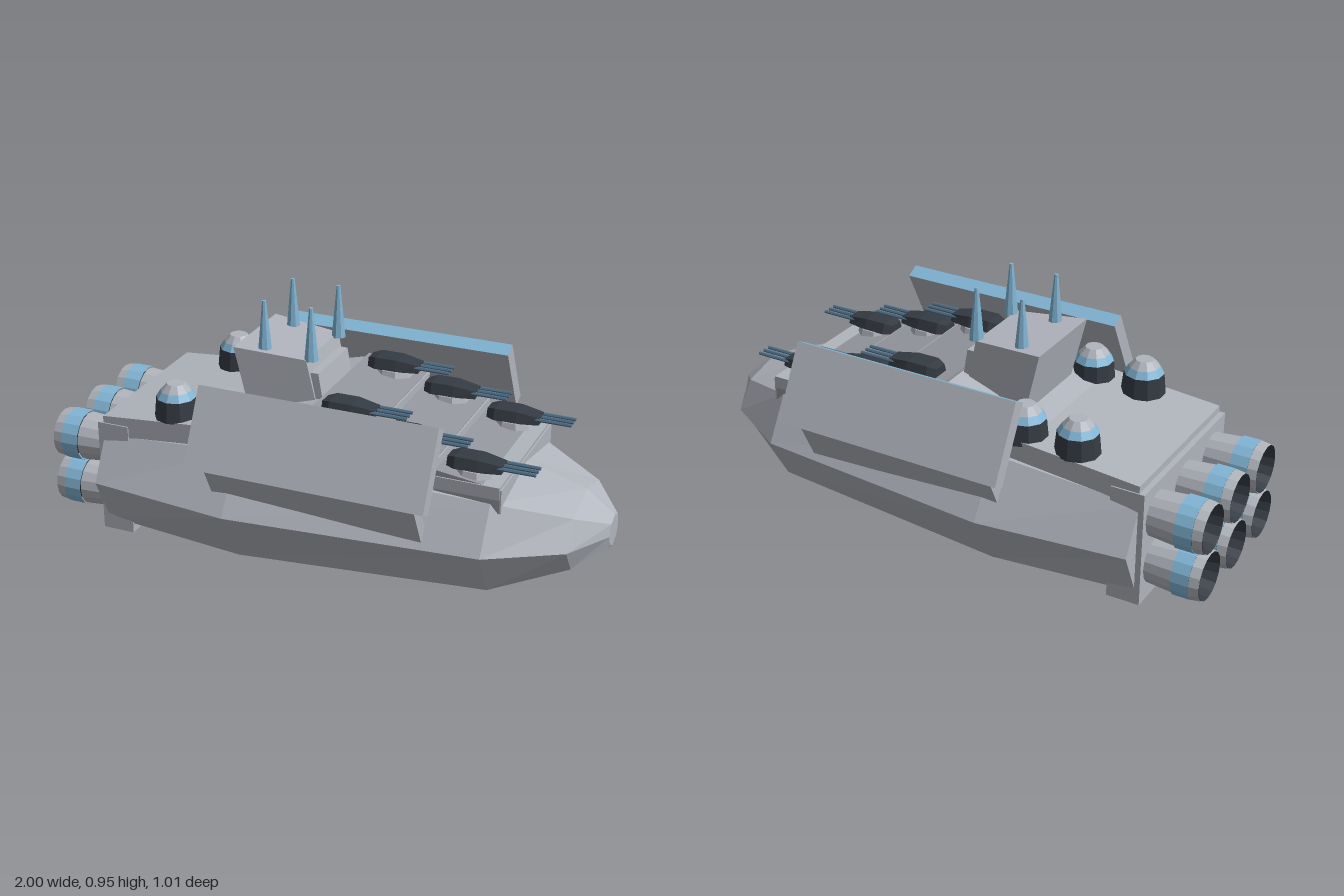
import * as THREE from 'three';

const mat = (name, color, side = THREE.FrontSide) => {
  const m = new THREE.MeshStandardMaterial({ color, side, flatShading: true });
  m.name = name;
  return m;
};

export function createModel() {
  const ship = new THREE.Group();
  ship.name = 'spaceBattleship';
  const hullGrey = mat('hullGrey', 0xb0b4bc);
  const deckGrey = mat('deckGrey', 0x94979e);
  const blue = mat('trimBlue', 0x82b6d6);
  const steel = mat('barrelSteel', 0x52728a);
  const dark = mat('gunDark', 0x353b43, THREE.DoubleSide);

  const add = (name, geo, material, x = 0, y = 0, z = 0, parent = ship) => {
    const m = new THREE.Mesh(geo, material);
    m.name = name;
    m.position.set(x, y, z);
    parent.add(m);
    return m;
  };
  // side profile in x,y pushed out symmetrically along z
  const slab = (pts, width) => {
    const shape = new THREE.Shape(pts.map(p => new THREE.Vector2(...p)));
    return new THREE.ExtrudeGeometry(shape, { depth: width, bevelEnabled: false }).translate(0, 0, -width / 2);
  };
  // closed skin through rings of equal point count, running towards +x
  const loft = rings => {
    const pos = [];
    const n = rings[0].length;
    for (let i = 0; i < rings.length - 1; i++) {
      for (let j = 0; j < n; j++) {
        const k = (j + 1) % n;
        const a = rings[i][j], b = rings[i][k], c = rings[i + 1][j], d = rings[i + 1][k];
        pos.push(...a, ...b, ...c, ...b, ...d, ...c);
      }
    }
    const first = rings[0], last = rings[rings.length - 1];
    for (let j = 1; j < n - 1; j++) {
      pos.push(...first[0], ...first[j + 1], ...first[j]);
      pos.push(...last[0], ...last[j], ...last[j + 1]);
    }
    const g = new THREE.BufferGeometry();
    g.setAttribute('position', new THREE.Float32BufferAttribute(pos, 3));
    g.computeVertexNormals();
    return g;
  };

  // faceted hull: x, top, shoulder z, shoulder y, beam z, chine y, keel
  const hullRing = ([x, top, zs, ys, zw, yc, keel]) => [
    [x, top, 0], [x, ys, zs], [x, 0.275, zw], [x, yc, zs],
    [x, keel, 0], [x, yc, -zs], [x, 0.275, -zw], [x, ys, -zs],
  ];
  add('hull', loft([
    [-0.78, 0.47, 0.31, 0.43, 0.395, 0.1, 0.05],
    [-0.25, 0.49, 0.33, 0.475, 0.455, 0.07, 0.0],
    [0.65, 0.485, 0.28, 0.435, 0.372, 0.11, 0.05],
    [0.9, 0.41, 0.155, 0.37, 0.225, 0.18, 0.14],
    [1.0, 0.333, 0.041, 0.316, 0.057, 0.235, 0.217],
  ].map(hullRing)), hullGrey);
  add('sternBlock', new THREE.BoxGeometry(0.12, 0.42, 0.64), hullGrey, -0.74, 0.27, 0);

  // decks: ramp at the stern, then three steps towards the bow
  add('sternDeck', slab([[-0.78, 0.4], [-0.3, 0.4], [-0.3, 0.545], [-0.36, 0.54], [-0.78, 0.505]], 0.63), hullGrey);
  add('rampDeck', slab([[-0.36, 0.42], [0, 0.42], [0, 0.635], [-0.36, 0.54]], 0.56), hullGrey);
  [[-0.01, 0.22, 0.625], [0.2, 0.45, 0.565], [0.43, 0.68, 0.505]].forEach(([x0, x1, y]) => {
    add('steppedDeck', slab([[x0, 0.4], [x1, 0.4], [x1, y - 0.012], [x0, y + 0.02]], 0.56), deckGrey);
    add('deckFrontWall', new THREE.BoxGeometry(0.006, y - 0.42, 0.56), hullGrey, x1 + 0.003, (y + 0.39) / 2, 0);
  });
  add('deckSkirt', new THREE.BoxGeometry(0.95, 0.045, 0.57), hullGrey, 0.205, 0.478, 0);

  // bridge, wide at the stern and narrower at the bow
  const bridgeRing = (xb, xt, yt, zb, zt) => [[xt, yt, -zt], [xt, yt, zt], [xb, 0.53, zb], [xb, 0.53, -zb]];
  add('bridge', loft([
    bridgeRing(-0.27, -0.33, 0.787, 0.165, 0.17),
    bridgeRing(-0.02, -0.07, 0.768, 0.13, 0.14),
  ]), hullGrey);
  add('bridgeFront', slab([[-0.1, 0.6], [-0.01, 0.6], [-0.03, 0.72], [-0.1, 0.72]], 0.255), hullGrey);

  for (const x of [-0.235, -0.06]) {
    for (const z of [-0.117, 0.117]) {
      add('antenna', new THREE.CylinderGeometry(0.007, 0.026, 0.19, 8), blue, x, 0.858, z);
    }
  }

  // domed side batteries
  for (const x of [-0.52, -0.325]) {
    for (const z of [-0.245, 0.245]) {
      const dome = new THREE.Group();
      dome.name = 'domeBattery';
      dome.position.set(x, 0, z);
      ship.add(dome);
      add('domeBase', new THREE.CylinderGeometry(0.071, 0.079, 0.075, 10), dark, 0, 0.5625, 0, dome);
      add('domeRing', new THREE.CylinderGeometry(0.055, 0.071, 0.025, 10), blue, 0, 0.6125, 0, dome);
      add('domeCap', new THREE.CylinderGeometry(0.032, 0.055, 0.025, 10), hullGrey, 0, 0.6375, 0, dome);
    }
  }

  // triple gun turrets, one pair per step
  const houseRing = (x, y1, zb, zt) => [[x, y1, -zt], [x, y1, zt], [x, 0, zb], [x, 0, -zb]];
  const house = loft([houseRing(-0.09, 0.03, 0.035, 0.025), houseRing(-0.06, 0.038, 0.052, 0.038),
    houseRing(0.02, 0.038, 0.052, 0.038), houseRing(0.1, 0.026, 0.034, 0.028)]);
  for (const [x, y] of [[0.12, 0.644], [0.335, 0.584], [0.57, 0.526]]) {
    for (const z of [-0.205, 0.205]) {
      const turret = new THREE.Group();
      turret.name = 'gunTurret';
      turret.position.set(x, y, z);
      ship.add(turret);
      add('turretBase', new THREE.CylinderGeometry(0.062, 0.078, 0.05, 8).rotateY(Math.PI / 8), hullGrey, 0, -0.024, 0, turret);
      add('turretHouse', house, dark, 0, 0, 0, turret);
      for (const dz of [-0.027, 0, 0.027]) {
        add('gunBarrel', new THREE.CylinderGeometry(0.006, 0.007, 0.17, 6).rotateZ(-Math.PI / 2), steel, 0.13, 0.018, dz, turret);
      }
    }
  }

  // leaning armour shields on struts, blue along the top edge
  for (const s of [-1, 1]) {
    const shield = add('sideShield', new THREE.BoxGeometry(0.86, 0.285, 0.053),
      [hullGrey, hullGrey, blue, hullGrey, hullGrey, hullGrey], 0.07, 0.585, s * 0.418);
    shield.rotation.x = -s * 0.48;
    const strut = add('shieldStrut', slab([[-0.31, -0.05], [0.45, -0.1], [0.45, 0.08], [-0.31, 0.08]], 0.05),
      hullGrey, 0, 0.4, s * 0.405);
    strut.rotation.x = s * 0.47;
  }

  // six engines, opening towards the stern
  const tube = (r0, r1, x0, x1, open) =>
    new THREE.CylinderGeometry(r1, r0, x1 - x0, 16, 1, open).rotateZ(Math.PI / 2).translate(-(x0 + x1) / 2, 0, 0);
  for (const y of [0.185, 0.365]) {
    for (const z of [-0.22, 0, 0.22]) {
      const engine = new THREE.Group();
      engine.name = 'engine';
      engine.position.set(0, y, z);
      ship.add(engine);
      add('engineBody', tube(0.078, 0.088, 0.78, 0.9, true), hullGrey, 0, 0, 0, engine);
      add('engineBand', tube(0.093, 0.093, 0.9, 0.965, true), blue, 0, 0, 0, engine);
      add('engineLip', tube(0.092, 0.087, 0.965, 1, true), hullGrey, 0, 0, 0, engine);
      add('engineThroat', tube(0.06, 0.085, 0.88, 1, true), dark, 0, 0, 0, engine);
      add('engineCore', tube(0.086, 0.086, 0.88, 0.9, false), dark, 0, 0, 0, engine);
    }
  }
  return ship;
}
